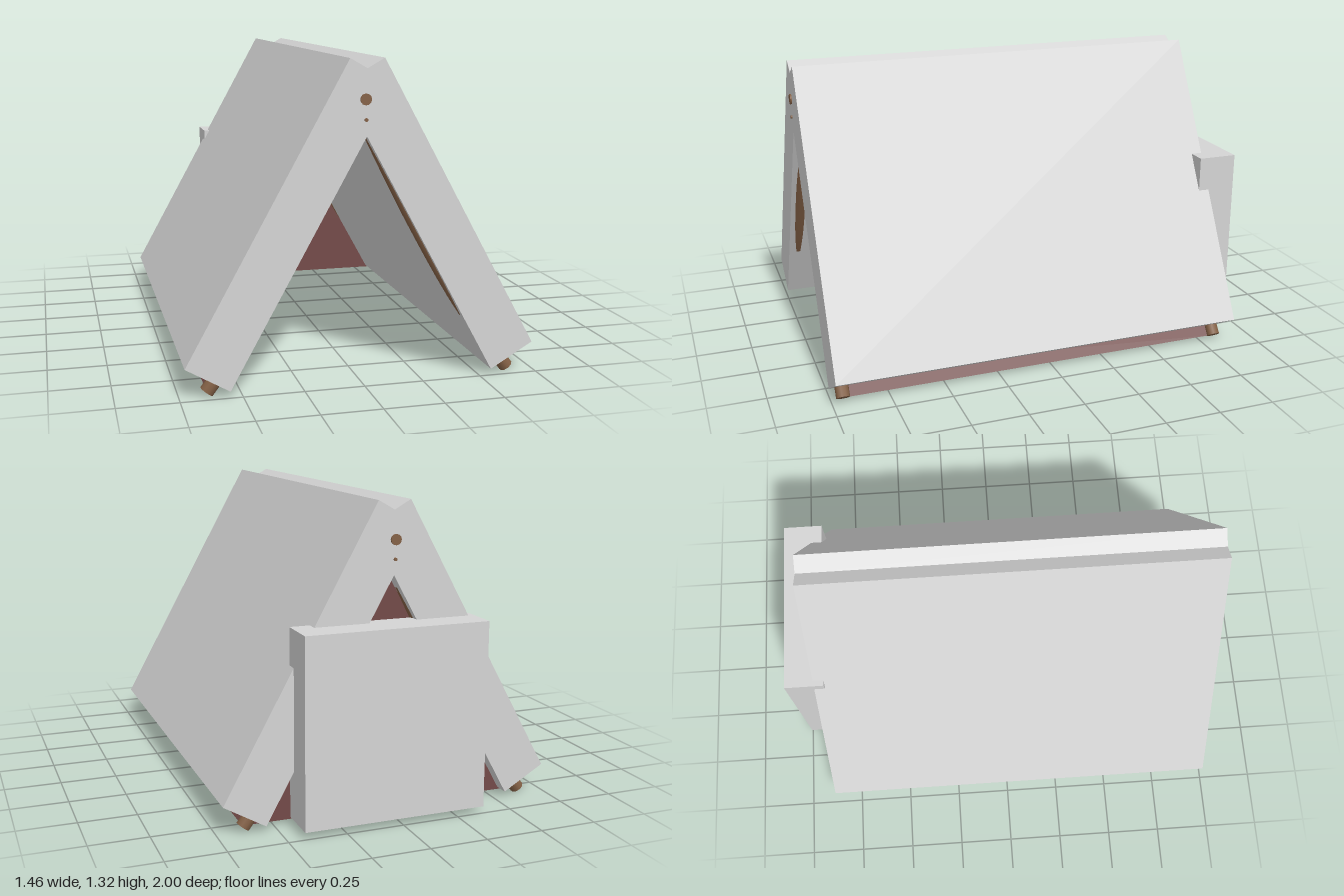
import * as THREE from 'three';

export function createModel() {
  const group = new THREE.Group();
  const mat = (name, color, opts = {}) => {
    const m = new THREE.MeshStandardMaterial({ color, ...opts });
    m.name = name;
    return m;
  };
  const grey = mat('pale grey', 0xd4d4d4);
  const red = mat('dull red cloth', 0x734a48, { side: THREE.DoubleSide });
  const wood = mat('brown wood', 0x836045);

  const add = (name, geometry, material, x = 0, y = 0, z = 0) => {
    const mesh = new THREE.Mesh(geometry, material);
    mesh.name = name;
    mesh.position.set(x, y, z);
    group.add(mesh);
    return mesh;
  };
  const polygon = (pts) => new THREE.Shape(pts.map(([x, y]) => new THREE.Vector2(x, y)));

  // Thick A-shaped roof: two leaning slabs crossing at a notched ridge
  const half = [[0.07, 1.325], [0.73, 0.13], [0.55, 0.025]];
  const roofOutline = [
    [0, 1.285], ...half, [0, 1.02],
    ...half.slice().reverse().map(([x, y]) => [-x, y]),
  ];
  add('roof', new THREE.ExtrudeGeometry(polygon(roofOutline), { depth: 1.865, bevelEnabled: false }),
    grey, 0, 0, -0.87);

  // Block standing against the back opening
  add('backBlock', new THREE.BoxGeometry(0.8, 0.8, 0.18), grey, 0.03, 0.43, -0.91);

  // Red cloth closing the back
  add('backCloth', new THREE.ShapeGeometry(polygon([[-0.62, 0.015], [0.62, 0.015], [0.42, 0.31], [0, 1.1], [-0.42, 0.31]])),
    red, 0, 0, -0.805);

  // Bent poles and side cloths, mirrored left and right
  const bend = [[0.635, 0.018], [0.427, 0.3], [0.222, 0.65], [0.066, 0.95], [0, 1.085]];
  for (const side of [1, -1]) {
    const label = side > 0 ? 'left' : 'right';
    const shift = side > 0 ? 0 : 0.004;
    const curve = new THREE.CatmullRomCurve3(
      bend.map(([x, y]) => new THREE.Vector3(side * (x + shift), y, 0)));
    for (const [end, z] of [['Front', 0.95], ['Back', -0.82]]) {
      add(`${label}${end}Pole`, new THREE.TubeGeometry(curve, 24, 0.03, 10), wood, 0, 0, z);
      const foot = curve.getPoint(0);
      const cap = add(`${label}${end}PoleFoot`, new THREE.CircleGeometry(0.03, 10), wood, foot.x, foot.y, z);
      cap.quaternion.setFromUnitVectors(new THREE.Vector3(0, 0, 1), curve.getTangent(0).negate());
    }

    // Cloth sheet following the poles from foot to ridge
    const cloth = new THREE.PlaneGeometry(1, 1.73, 12, 1);
    const pos = cloth.attributes.position;
    for (let i = 0; i < pos.count; i++) {
      const p = curve.getPoint(pos.getX(i) + 0.5);
      pos.setXYZ(i, p.x, Math.max(p.y, 0.014), pos.getY(i) + 0.065);
    }
    cloth.computeVertexNormals();
    add(`${label}Cloth`, cloth, red);
  }

  // Ridge pole and thin peg, just showing at both gable ends
  const rod = (r, len) => new THREE.CylinderGeometry(r, r, len, 12).rotateX(Math.PI / 2);
  add('ridgePole', rod(0.023, 1.88), wood, -0.006, 1.165, 0.0625);
  add('ridgePeg', rod(0.007, 1.88), wood, -0.004, 1.085, 0.0625);

  return group;
}
